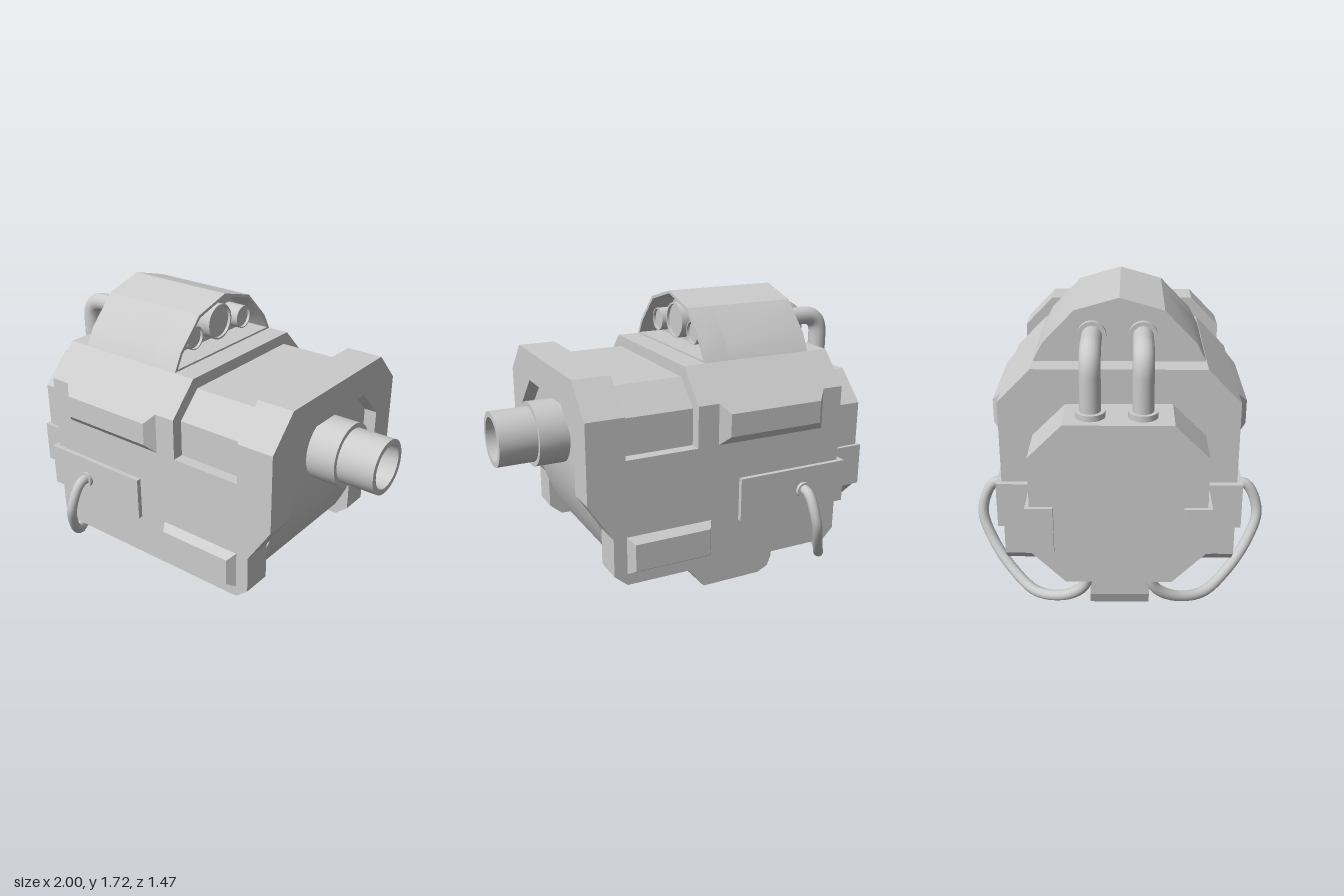
import * as THREE from 'three';
import { toCreasedNormals } from 'three/addons/utils/BufferGeometryUtils.js';

const mat = new THREE.MeshStandardMaterial({ color: 0xcccccc, side: THREE.DoubleSide });

export function createModel() {
  const model = new THREE.Group();

  const add = (name, geo, x = 0, y = 0, z = 0) => {
    const mesh = new THREE.Mesh(geo, mat);
    mesh.name = name;
    mesh.position.set(x, y, z);
    model.add(mesh);
    return mesh;
  };
  const shapeOf = pts => new THREE.Shape(pts.map(p => new THREE.Vector2(...p)));
  const extrude = (shape, depth) =>
    toCreasedNormals(new THREE.ExtrudeGeometry(shape, { depth, bevelEnabled: false }), 0.3);
  // side profile (x, y) swept across z
  const alongZ = (name, pts, z0, z1) => add(name, extrude(shapeOf(pts), z1 - z0), 0, 0, z0);
  // cross-section (z, y) swept along x
  const alongX = (name, pts, x0, x1) =>
    add(name, extrude(shapeOf(pts), x1 - x0).rotateY(Math.PI / 2), x0);
  // half section from the bottom to the top, mirrored across z
  const mirror = half => [...half, ...half.map(([z, y]) => [-z, y]).reverse()];
  const box = (name, x0, x1, y0, y1, z0, z1) =>
    add(name, new THREE.BoxGeometry(x1 - x0, y1 - y0, Math.abs(z1 - z0)),
      (x0 + x1) / 2, (y0 + y1) / 2, (z0 + z1) / 2);
  const cyl = (name, r, len, axis, x, y, z) => {
    const geo = new THREE.CylinderGeometry(r, r, len, 28);
    if (axis === 'x') geo.rotateZ(Math.PI / 2);
    if (axis === 'z') geo.rotateX(Math.PI / 2);
    return add(name, geo, x, y, z);
  };
  // raised pad: a box whose outer face is inset
  const pad = (name, x0, x1, y0, y1, inX, inY, side) => {
    const w = x1 - x0, h = y1 - y0;
    const geo = new THREE.BoxGeometry(w, h, 0.09).toNonIndexed();
    const p = geo.attributes.position;
    for (let i = 0; i < p.count; i++) {
      if (p.getZ(i) * side > 0) {
        p.setX(i, p.getX(i) * (1 - 2 * inX / w));
        p.setY(i, p.getY(i) * (1 - 2 * inY / h));
      } else p.setZ(i, 0);
    }
    geo.computeVertexNormals();
    add(name, geo, (x0 + x1) / 2, (y0 + y1) / 2, side * 0.57);
  };

  // inner core with a curved front
  const front = new THREE.QuadraticBezierCurve(
    new THREE.Vector2(0.5, 0.43), new THREE.Vector2(0.64, 0.68), new THREE.Vector2(0.64, 0.92));
  alongZ('core', [[-0.73, 0.43], ...front.getPoints(12).map(p => [p.x, p.y]),
    [0.64, 1.25], [-0.73, 1.25]], -0.41, 0.41);

  // upper housing: rear section, notched middle, open front hood
  const outer = [[0.57, 1.03], [0.57, 1.245], [0.41, 1.41]];
  alongX('rearHousing', mirror(outer), -0.73, 0.12);
  alongX('notchedHousing', mirror([[0.51, 1.03], [0.51, 1.22], [0.38, 1.35]]), 0.12, 0.51);
  const inner = [[0.41, 1.03], [0.41, 1.09], [0.25, 1.25]];
  alongX('frontHood', [...mirror(outer),
    ...mirror(inner).reverse()], 0.51, 0.71);

  // keel: sloping wedge and fin
  alongX('keelWedge', mirror([[0.155, 0.235], [0.41, 0.43], [0.41, 0.45]]), -0.61, 0.04);
  alongZ('keelFin', [[-0.61, 0.24], [-0.61, 0.1], [-0.585, 0.035], [-0.52, 0.003], [-0.15, 0],
    [0.04, 0.235], [0.04, 0.24]], -0.155, 0.155);

  // rear block
  alongX('rearBlock', mirror([[0.25, 0.43], [0.41, 0.59], [0.41, 1.08], [0.25, 1.24]]),
    -0.98, -0.7);

  // top cowl with an open front
  const cowl = [[0.41, 1.405], [0.36, 1.5], [0.21, 1.655], [0, 1.715]];
  const cowlIn = [[0.385, 1.42], [0.345, 1.49], [0.203, 1.64], [0, 1.7]];
  const arch = half => [...half, ...half.slice(0, -1).map(([z, y]) => [-z, y]).reverse()];
  alongX('cowl', arch(cowl), -0.615, -0.14);
  const rim = shapeOf(arch(cowl));
  rim.holes.push(new THREE.Path(arch(cowlIn).map(p => new THREE.Vector2(...p))));
  add('cowlRim', extrude(rim, 0.14).rotateY(Math.PI / 2), -0.14);

  // lenses, each a tube with a sunken disc
  for (const [z, y, r] of [[0, 1.555, 0.095], [0.205, 1.525, 0.062], [-0.205, 1.525, 0.062]]) {
    const pts = [[r, 0], [r, 0.12], [r * 0.9, 0.12], [r * 0.9, 0.105], [0, 0.105]]
      .map(p => new THREE.Vector2(...p));
    const geo = toCreasedNormals(new THREE.LatheGeometry(pts, 28), 0.5);
    add('lens', geo.rotateZ(-Math.PI / 2), -0.15, y, z);
  }

  // hollow barrel
  const barrel = [[0.17, 0.55], [0.17, 0.71], [0.17, 0.8], [0.145, 0.8], [0.145, 1],
    [0.115, 1], [0.115, 0.72], [0, 0.72]].map(p => new THREE.Vector2(...p));
  add('barrel', toCreasedNormals(new THREE.LatheGeometry(barrel, 32), 0.5)
    .rotateZ(-Math.PI / 2), 0, 1.035, 0);

  // upper pipes from the cowl to the rear block
  for (const z of [-0.128, 0.11]) {
    const v = (x, y) => new THREE.Vector3(x, y, z);
    const path = new THREE.CurvePath();
    path.add(new THREE.LineCurve3(v(-0.6, 1.54), v(-0.77, 1.54)));
    path.add(new THREE.QuadraticBezierCurve3(v(-0.77, 1.54), v(-0.875, 1.54), v(-0.875, 1.43)));
    path.add(new THREE.LineCurve3(v(-0.875, 1.43), v(-0.875, 1.23)));
    add('upperPipe', new THREE.TubeGeometry(path, 32, 0.049, 16));
    cyl('pipeFlange', 0.068, 0.03, 'x', -0.625, 1.54, z);
    cyl('pipeFlange', 0.068, 0.03, 'y', -0.875, 1.253, z);
  }

  // parts on both flanks
  const plate = [[-0.73, 0.43], [-0.67, 0.37], [0.51, 0.37], [0.58, 0.43], [0.58, 0.63],
    [0.71, 0.83], [0.71, 1.03], [-0.73, 1.03]];
  const cable = [[-0.5, 0.715, 0.57], [-0.5, 0.705, 0.65], [-0.52, 0.56, 0.708],
    [-0.57, 0.42, 0.66], [-0.66, 0.29, 0.55], [-0.76, 0.222, 0.42],
    [-0.83, 0.25, 0.27], [-0.865, 0.33, 0.17], [-0.868, 0.45, 0.14]];
  for (const s of [1, -1]) {
    const side = s > 0 ? 'left' : 'right';
    alongZ(side + 'SidePlate', plate, s > 0 ? 0.41 : -0.57, s > 0 ? 0.57 : -0.41);
    pad(side + 'UpperPad', -0.615, 0.005, 1.03, 1.245, 0.045, 0.048, s);
    pad(side + 'LowerPad', 0.04, 0.51, 0.43, 0.63, 0.028, 0.028, s);
    box(side + 'SidePanel', -0.76, -0.12, 0.6, 0.833, s * 0.4, s * 0.595);
    box(side + 'RearBracket', -1, -0.74, 0.6, 0.833, s * 0.3, s * 0.43);
    const curve = new THREE.CatmullRomCurve3(
      cable.map(([x, y, z]) => new THREE.Vector3(x, y, z * s)));
    add(side + 'Cable', new THREE.TubeGeometry(curve, 48, 0.027, 12));
    cyl(side + 'CableFlange', 0.042, 0.03, 'z', -0.5, 0.71, s * 0.597);
    cyl(side + 'CableFlange', 0.042, 0.03, 'y', -0.868, 0.427, s * 0.14);
  }

  for (const mesh of model.children) {
    // pads are built from the flank outward to their raised face
    if (mesh.name.endsWith('Pad')) mesh.geometry.computeBoundingSphere();
  }
  return model;
}
